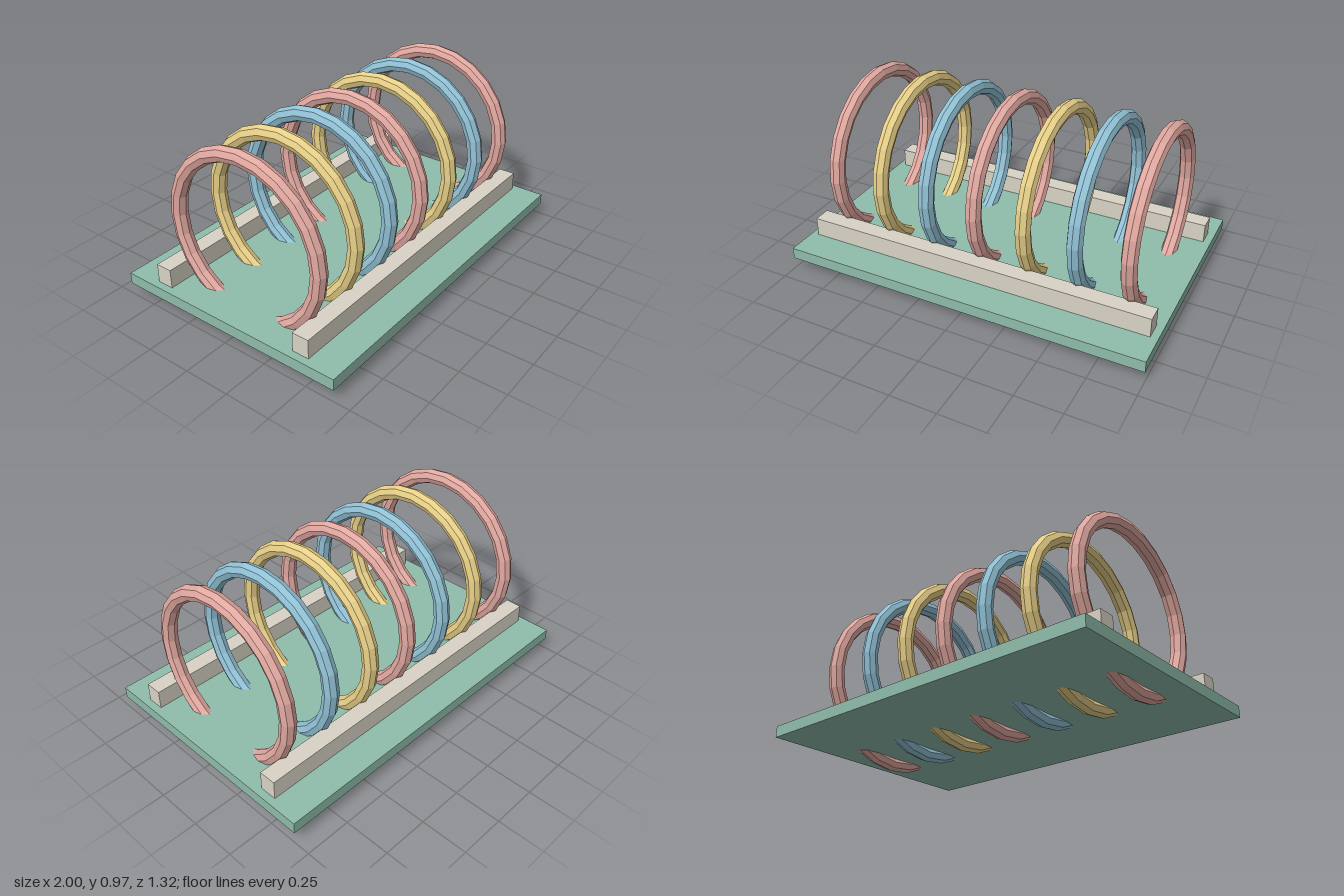
import * as THREE from 'three';

const mat = (color) => new THREE.MeshStandardMaterial({ color, flatShading: true });

export function createModel() {
  const model = new THREE.Group();
  model.name = 'ringRack';

  const add = (name, geometry, material, x, y, z) => {
    const mesh = new THREE.Mesh(geometry, material);
    mesh.name = name;
    mesh.position.set(x, y, z);
    model.add(mesh);
  };

  // Base board
  add('base', new THREE.BoxGeometry(2, 0.062, 1.32), mat(0x8fbcaa), 0, 0.095, 0);

  // Front and back rails
  const railGeometry = new THREE.BoxGeometry(1.92, 0.104, 0.093);
  const railMaterial = mat(0xd8d3c5);
  add('frontRail', railGeometry, railMaterial, 0, 0.178, 0.441);
  add('backRail', railGeometry, railMaterial, 0, 0.178, -0.441);

  // Upright rings passing through the base, in repeating colours
  const ringGeometry = new THREE.TorusGeometry(0.442, 0.0417, 8, 24).rotateY(Math.PI / 2);
  const ringMaterials = [0xe2a9a1, 0xe8d088, 0x92c2d6].map(mat);
  for (let i = 0; i < 7; i++) {
    add(`ring${i + 1}`, ringGeometry, ringMaterials[i % 3], (i - 3) * 0.272, 0.4845, 0);
  }

  return model;
}
